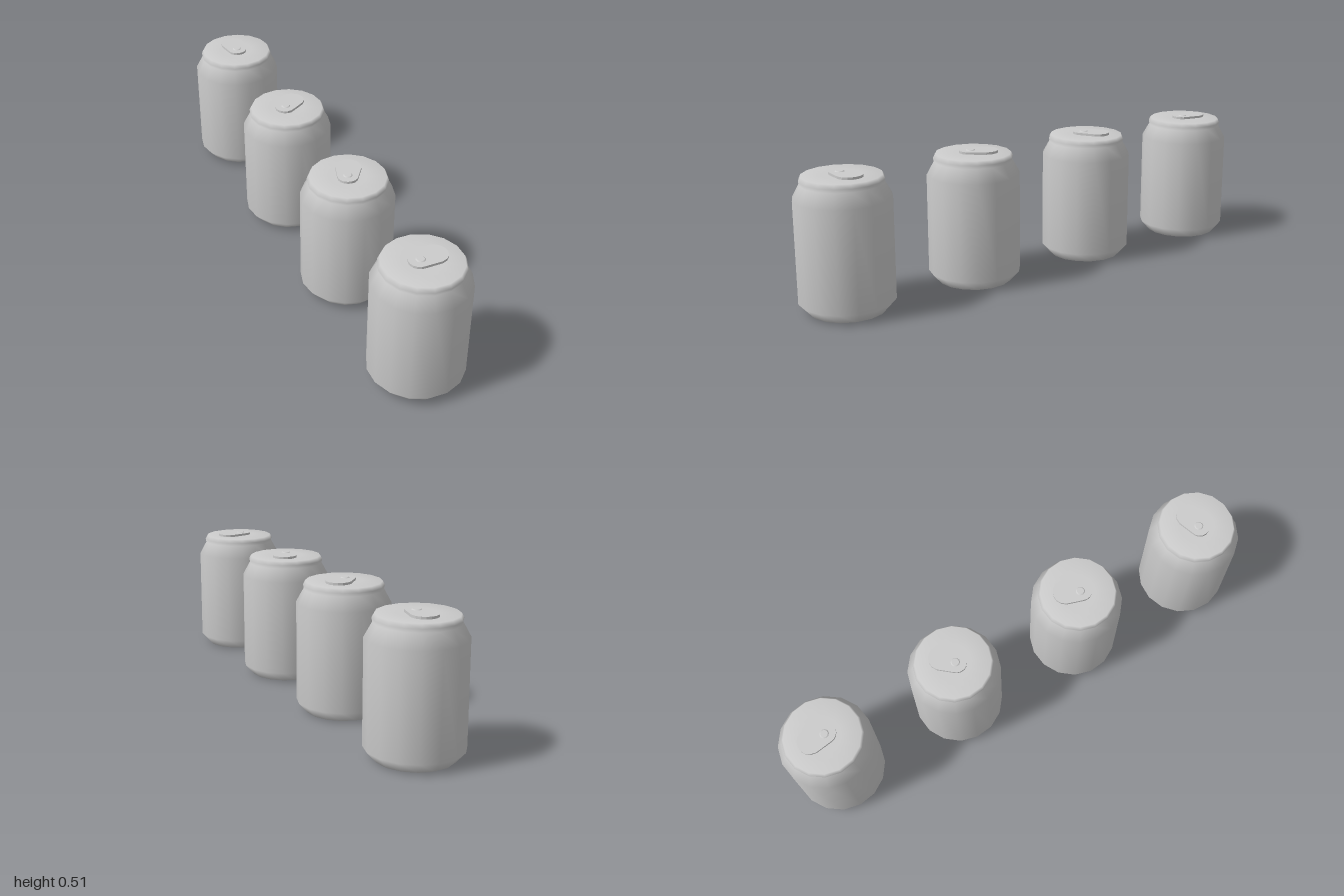
import * as THREE from 'three';

const grey = new THREE.MeshStandardMaterial({ color: 0xcccccc });

// Can shell, from the bottom centre up to the lid centre
function makeBody() {
  const profile = [
    [0, 0.012], [0.07, 0.009], [0.14, 0.001], [0.142, 0], [0.1775, 0.04], [0.1775, 0.42],
    [0.149, 0.472], [0.152, 0.485], [0.144, 0.501], [0.07, 0.501], [0, 0.501],
  ].map(([r, y]) => new THREE.Vector2(r, y));
  const body = new THREE.Mesh(new THREE.LatheGeometry(profile, 16), grey);
  body.name = 'canBody';
  return body;
}

// Pull tab: rounded plate, wider at its outer end, with a low rivet
function makeTab() {
  const s = new THREE.Shape();
  s.moveTo(-0.015, -0.039);
  s.lineTo(0.045, -0.049);
  s.bezierCurveTo(0.112, -0.049, 0.112, 0.049, 0.045, 0.049);
  s.lineTo(-0.015, 0.039);
  s.bezierCurveTo(-0.066, 0.036, -0.066, -0.036, -0.015, -0.039);
  const plateGeo = new THREE.ExtrudeGeometry(s, { depth: 0.01, bevelEnabled: false, curveSegments: 8 });
  plateGeo.rotateX(-Math.PI / 2);
  const plate = new THREE.Mesh(plateGeo, grey);
  plate.name = 'tabPlate';
  plate.position.y = 0.5;

  const rivet = new THREE.Mesh(new THREE.CylinderGeometry(0.014, 0.019, 0.004, 10), grey);
  rivet.name = 'tabRivet';
  rivet.position.set(-0.01, 0.511, 0);

  const tab = new THREE.Group();
  tab.name = 'pullTab';
  tab.add(plate, rivet);
  return tab;
}

export function createModel() {
  const model = new THREE.Group();
  model.name = 'rowOfCans';
  // Each can is turned by its own angle
  [8, 62, 40, 88].forEach((degrees, i) => {
    const can = new THREE.Group();
    can.name = 'can' + (i + 1);
    can.add(makeBody(), makeTab());
    can.position.z = 0.824 - i * 0.5493;
    can.rotation.y = THREE.MathUtils.degToRad(degrees);
    model.add(can);
  });
  return model;
}
